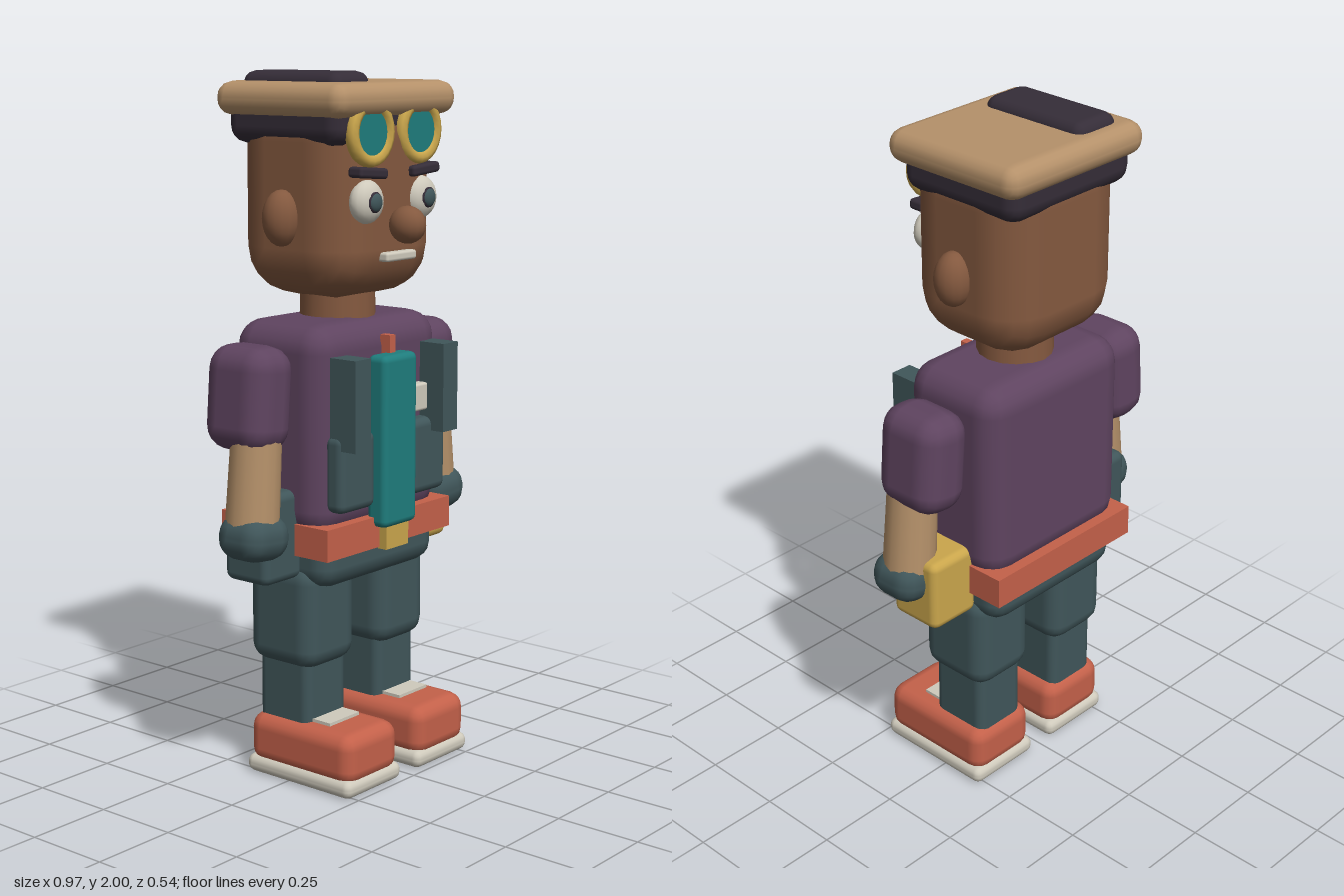
import * as THREE from 'three';
import { RoundedBoxGeometry } from 'three/addons/geometries/RoundedBoxGeometry.js';

const paint = (name, color) => {
  const m = new THREE.MeshStandardMaterial({ color });
  m.name = name;
  return m;
};

export function createModel() {
  const skin = paint('skin brown', 0x84593f);
  const tan = paint('tan', 0xb5916a);
  const purple = paint('shirt purple', 0x5f4460);
  const slate = paint('slate', 0x40565a);
  const teal = paint('teal', 0x1f7d7d);
  const red = paint('brick red', 0xc4614a);
  const cream = paint('cream', 0xcfcabc);
  const yellow = paint('mustard', 0xcaa64c);
  const dark = paint('dark', 0x352d38);

  const model = new THREE.Group();
  model.name = 'figure';

  const add = (name, geometry, material, x, y, z, parent = model) => {
    const mesh = new THREE.Mesh(geometry, material);
    mesh.name = name;
    mesh.position.set(x, y, z);
    parent.add(mesh);
    return mesh;
  };
  // Box given by its extents; r > 0 rounds the edges
  const box = (name, material, [x0, x1], [y0, y1], [z0, z1], r = 0, parent = model) => {
    const w = x1 - x0, h = y1 - y0, d = z1 - z0;
    const g = r > 0 ? new RoundedBoxGeometry(w, h, d, 2, r) : new THREE.BoxGeometry(w, h, d);
    return add(name, g, material, (x0 + x1) / 2, (y0 + y1) / 2, (z0 + z1) / 2, parent);
  };
  const ball = (name, material, x, y, z, rx, ry, rz) => {
    const mesh = add(name, new THREE.SphereGeometry(1, 16, 12), material, x, y, z);
    mesh.scale.set(rx, ry, rz);
    return mesh;
  };
  // Mirrored x extents for side s
  const span = (s, a, b) => (s > 0 ? [a, b] : [-b, -a]);

  // Trunk
  box('torso', purple, [-0.275, 0.275], [0.72, 1.32], [-0.21, 0.135], 0.08);
  box('hips', slate, [-0.255, 0.255], [0.575, 0.76], [-0.205, 0.135], 0.06);
  box('belt', red, [-0.277, 0.277], [0.675, 0.765], [-0.235, 0.16]);
  box('buckle', yellow, [-0.05, 0.05], [0.67, 0.755], [0.155, 0.185]);
  box('frontPanel', teal, [-0.075, 0.075], [0.735, 1.225], [0.13, 0.2], 0.02);
  box('panelTab', red, [-0.012, 0.012], [1.15, 1.275], [0.13, 0.165]);
  box('badge', cream, [0.085, 0.165], [1.04, 1.12], [0.125, 0.165], 0.008);

  // Side pouches
  box('yellowPouch', yellow, [0.245, 0.415], [0.605, 0.82], [-0.12, 0.05], 0.025);
  box('slatePouch', slate, [-0.395, -0.235], [0.605, 0.86], [-0.12, 0.04], 0.025);

  // Neck and head
  add('neck', new THREE.CylinderGeometry(0.105, 0.11, 0.16, 16), skin, 0, 1.35, -0.035);
  box('head', skin, [-0.23, 0.23], [1.378, 1.95], [-0.245, 0.175], 0.14);
  ball('nose', skin, 0, 1.585, 0.215, 0.047, 0.052, 0.055);
  box('mouth', cream, [-0.066, 0.066], [1.485, 1.511], [0.15, 0.198], 0.008);

  // Cap and goggles
  box('capBand', dark, [-0.235, 0.235], [1.8, 1.93], [-0.25, 0.165], 0.05);
  box('capTop', tan, [-0.263, 0.263], [1.877, 1.972], [-0.272, 0.196], 0.045);
  box('capPatch', dark, [-0.198, -0.04], [1.93, 2.0], [-0.225, 0.128], 0.05);

  for (const s of [1, -1]) {
    // Face
    ball('ear', skin, s * 0.238, 1.605, -0.035, 0.055, 0.078, 0.053);
    ball('eye', cream, s * 0.118, 1.652, 0.165, 0.06, 0.06, 0.038);
    ball('irisRim', dark, s * 0.118, 1.652, 0.192, 0.031, 0.031, 0.016);
    ball('iris', slate, s * 0.118, 1.652, 0.197, 0.026, 0.026, 0.014);
    const brow = add('eyebrow', new RoundedBoxGeometry(0.12, 0.03, 0.05, 2, 0.01), dark,
      s * 0.115, 1.73, 0.17);
    brow.rotation.z = s * 0.08;

    // Goggle
    add('goggleRing', new THREE.TorusGeometry(0.076, 0.019, 8, 24), yellow, s * 0.105, 1.837, 0.168);
    const lens = add('goggleLens', new THREE.CylinderGeometry(0.07, 0.07, 0.03, 24), teal,
      s * 0.105, 1.837, 0.163);
    lens.rotation.x = Math.PI / 2;

    // Chest straps and pockets
    box('chestStrap', slate, span(s, 0.163, 0.23), [0.98, 1.235], [0.13, 0.22]);
    box('chestPocket', slate, span(s, 0.083, 0.237), [0.8, 1.02], [0.11, 0.178], 0.025);

    // Arm, splayed slightly outward
    const arm = new THREE.Group();
    arm.name = s > 0 ? 'leftArm' : 'rightArm';
    model.add(arm);
    const sleeve = add('sleeve', new RoundedBoxGeometry(0.17, 0.295, 0.225, 2, 0.07), purple,
      s * 0.37, 1.125, -0.04, arm);
    const forearm = add('forearm', new THREE.CylinderGeometry(0.07, 0.075, 0.26, 16), tan,
      s * 0.388, 0.91, -0.006, arm);
    const hand = add('hand', new RoundedBoxGeometry(0.17, 0.13, 0.17, 2, 0.06), slate,
      s * 0.4, 0.747, 0, arm);
    for (const part of [sleeve, forearm, hand]) part.rotation.z = s * 0.08;

    // Leg and shoe
    const leg = new THREE.Group();
    leg.name = s > 0 ? 'leftLeg' : 'rightLeg';
    model.add(leg);
    box('thigh', slate, span(s, 0.05, 0.27), [0.335, 0.64], [-0.155, 0.088], 0.055, leg);
    box('shin', slate, span(s, 0.07, 0.245), [0.12, 0.4], [-0.13, 0.06], 0.03, leg);
    box('shoe', red, span(s, 0.042, 0.275), [0.03, 0.18], [-0.147, 0.236], 0.045, leg);
    box('sole', cream, span(s, 0.036, 0.28), [0, 0.053], [-0.151, 0.238], 0.024, leg);
    box('shoeTongue', cream, span(s, 0.093, 0.223), [0.175, 0.189], [0.04, 0.122], 0, leg);
  }
  return model;
}
